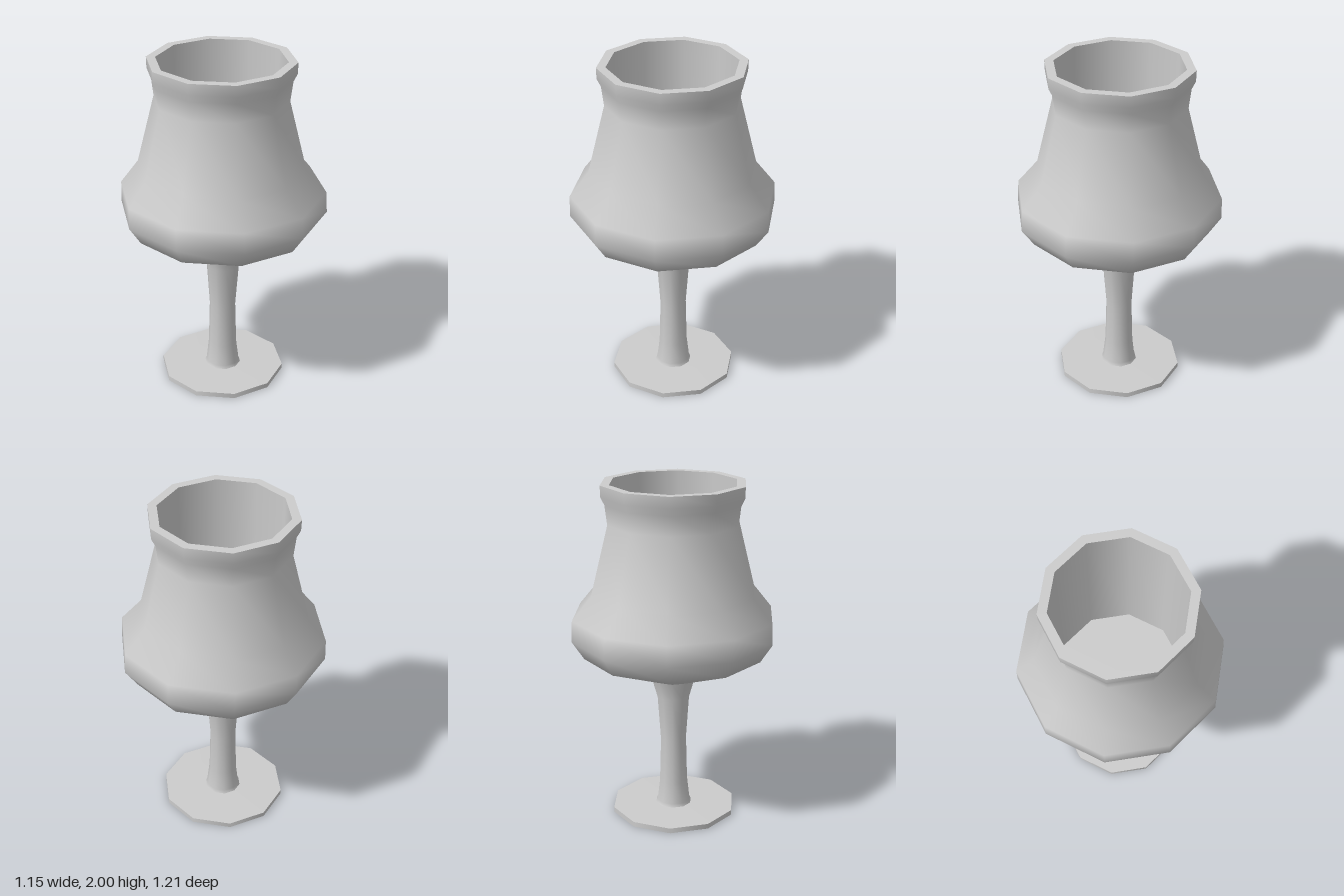
import * as THREE from 'three';

const SIDES = 10;

// Revolve a profile of [radius, y, sideways shift] rows; each ring may sit slightly off the axis.
function turned(rows) {
  const geo = new THREE.LatheGeometry(rows.map(([r, y]) => new THREE.Vector2(r, y)), SIDES);
  const pos = geo.attributes.position;
  for (let i = 0; i < pos.count; i++) {
    pos.setX(i, pos.getX(i) + rows[i % rows.length][2]);
  }
  return geo;
}

export function createModel() {
  const group = new THREE.Group();
  group.name = 'goblet';
  const grey = new THREE.MeshStandardMaterial({ color: 0xcccccc });
  grey.name = 'light grey';

  const add = (name, rows) => {
    const mesh = new THREE.Mesh(turned(rows), grey);
    mesh.name = name;
    group.add(mesh);
  };

  // Foot: a thin disc, one sharp-edged surface per mesh
  add('footUnderside', [[0, 0, -0.006], [0.373, 0, -0.006]]);
  add('footEdge', [[0.373, 0, -0.006], [0.373, 0.03, -0.006]]);
  add('footTop', [[0.373, 0.03, -0.006], [0.09, 0.032, -0.006]]);

  // Stem flares at both ends
  add('stem', [
    [0.11, 0.03, -0.004], [0.1, 0.05, -0.004], [0.085, 0.18, -0.005],
    [0.078, 0.45, -0.005], [0.097, 0.72, -0.003], [0.13, 0.835, -0.002],
  ]);

  // Bowl: wide belly, tapering neck and straight collar
  add('bowl', [
    [0.13, 0.835, -0.002], [0.532, 0.997, -0.003], [0.603, 1.105, 0],
    [0.598, 1.23, -0.003], [0.486, 1.37, -0.012], [0.384, 1.775, -0.011],
    [0.398, 1.89, -0.01], [0.42, 1.935, -0.01], [0.422, 2, -0.01],
  ]);

  // Rim and hollow inside
  add('rim', [[0.422, 2, -0.01], [0.37, 2, -0.01]]);
  add('innerWall', [[0.37, 2, -0.01], [0.37, 0.97, -0.01]]);
  add('innerFloor', [[0.37, 0.97, -0.01], [0, 0.97, -0.01]]);

  return group;
}
